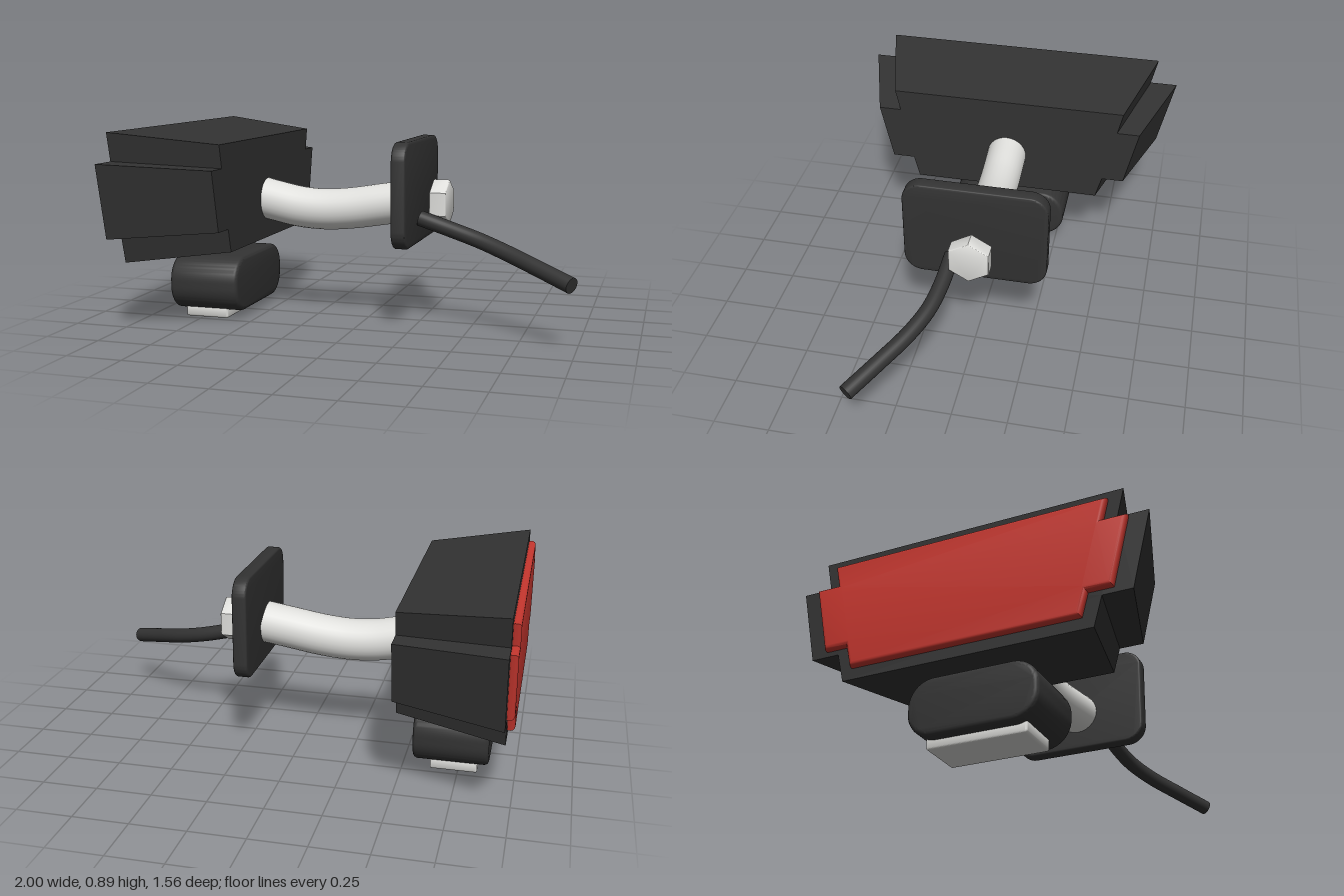
import * as THREE from 'three';
import { toCreasedNormals } from 'three/addons/utils/BufferGeometryUtils.js';

const material = (name, color) => {
  const m = new THREE.MeshStandardMaterial({ color });
  m.name = name;
  return m;
};

// Left-right symmetric outline from points of one half, listed top to bottom
function mirroredShape(half) {
  const other = half.map(([z, y]) => [-z, y]).reverse();
  return new THREE.Shape([...half, ...other].map(([z, y]) => new THREE.Vector2(z, y)));
}

function roundedShape(halfWidth, y0, y1, r) {
  const s = new THREE.Shape();
  const w = halfWidth;
  s.absarc(w - r, y1 - r, r, 0, Math.PI / 2);
  s.absarc(-w + r, y1 - r, r, Math.PI / 2, Math.PI);
  s.absarc(-w + r, y0 + r, r, Math.PI, Math.PI * 1.5);
  s.absarc(w - r, y0 + r, r, Math.PI * 1.5, Math.PI * 2);
  s.closePath();
  return s;
}

// Extrude an outline in the z-y plane from x0 to x1, with edges rounded by b
function extrudeX(shape, x0, x1, b = 0) {
  const g = new THREE.ExtrudeGeometry(shape, {
    depth: x1 - x0 - 2 * b,
    bevelEnabled: b > 0,
    bevelThickness: b,
    bevelSize: b,
    bevelOffset: -b,
    bevelSegments: 4,
    curveSegments: 10,
  });
  g.translate(0, 0, x0 + b);
  g.rotateY(Math.PI / 2);
  return b > 0 ? toCreasedNormals(g, 0.6) : g;
}

// Round bar along a smooth path, closed with flat ends
function bar(points, radius, mat, name) {
  const curve = new THREE.CatmullRomCurve3(points.map((p) => new THREE.Vector3(...p)));
  const group = new THREE.Group();
  group.name = name;
  const tube = new THREE.Mesh(new THREE.TubeGeometry(curve, 40, radius, 28), mat);
  tube.name = name + 'Tube';
  group.add(tube);
  for (const t of [0, 1]) {
    const cap = new THREE.Mesh(new THREE.CircleGeometry(radius, 28), mat);
    const dir = curve.getTangent(t).multiplyScalar(t ? 1 : -1);
    cap.position.copy(curve.getPoint(t));
    cap.quaternion.setFromUnitVectors(new THREE.Vector3(0, 0, 1), dir);
    cap.name = name + 'End';
    group.add(cap);
  }
  return group;
}

export function createModel() {
  const black = material('black plastic', 0x333333);
  const red = material('red lens', 0xc8372f);
  const white = material('pale metal', 0xdededb);

  const model = new THREE.Group();
  model.name = 'lampAssembly';
  const add = (name, geometry, mat) => {
    const mesh = new THREE.Mesh(geometry, mat);
    mesh.name = name;
    model.add(mesh);
  };

  // Stepped housing, tapering toward the stem
  const housing = extrudeX(mirroredShape([
    [0.68, 0.895], [0.652, 0.768], [0.782, 0.768],
    [0.709, 0.437], [0.583, 0.437], [0.55, 0.308],
  ]), -0.965, -0.5);
  const p = housing.attributes.position;
  for (let i = 0; i < p.count; i++) {
    if (p.getX(i) > -0.7) {
      p.setY(i, 0.604 + (p.getY(i) - 0.604) * 0.82);
      p.setZ(i, p.getZ(i) * 0.82);
    }
  }
  housing.computeVertexNormals();
  add('housing', housing, black);

  // Red lens on the wide end
  add('lens', extrudeX(mirroredShape([
    [0.618, 0.855], [0.596, 0.757], [0.7, 0.757],
    [0.635, 0.457], [0.53, 0.457], [0.505, 0.355],
  ]), -0.997, -0.955, 0.018), red);

  // Small lamp below the housing
  add('lowerLamp', extrudeX(roundedShape(0.288, 0.036, 0.293, 0.115), -0.885, -0.55, 0.02), black);
  add('lowerLampLens', extrudeX(roundedShape(0.22, 0, 0.06, 0.01), -0.835, -0.625, 0.008), white);

  // Curved stem
  model.add(bar([
    [-0.54, 0.555, 0], [-0.45, 0.535, 0], [-0.33, 0.512, 0], [-0.21, 0.505, 0],
    [-0.08, 0.515, 0], [0.06, 0.537, 0], [0.192, 0.558, 0],
  ], 0.096, white, 'stem'));

  // Mounting plate and hexagonal bolt
  add('mountingPlate', extrudeX(roundedShape(0.325, 0.376, 0.846, 0.085), 0.19, 0.255, 0.01), black);
  const hexagon = new THREE.Shape(Array.from({ length: 6 }, (_, i) => {
    const a = Math.PI / 6 + (i * Math.PI) / 3;
    return new THREE.Vector2(Math.cos(a) * 0.104, 0.558 + Math.sin(a) * 0.104);
  }));
  add('bolt', extrudeX(hexagon, 0.305, 0.385, 0.01), white);

  // Cable
  model.add(bar([
    [0.27, 0.495, 0.1], [0.42, 0.45, 0.113], [0.55, 0.412, 0.14],
    [0.68, 0.373, 0.198], [0.82, 0.332, 0.285], [0.978, 0.285, 0.388],
  ], 0.035, black, 'cable'));

  return model;
}
